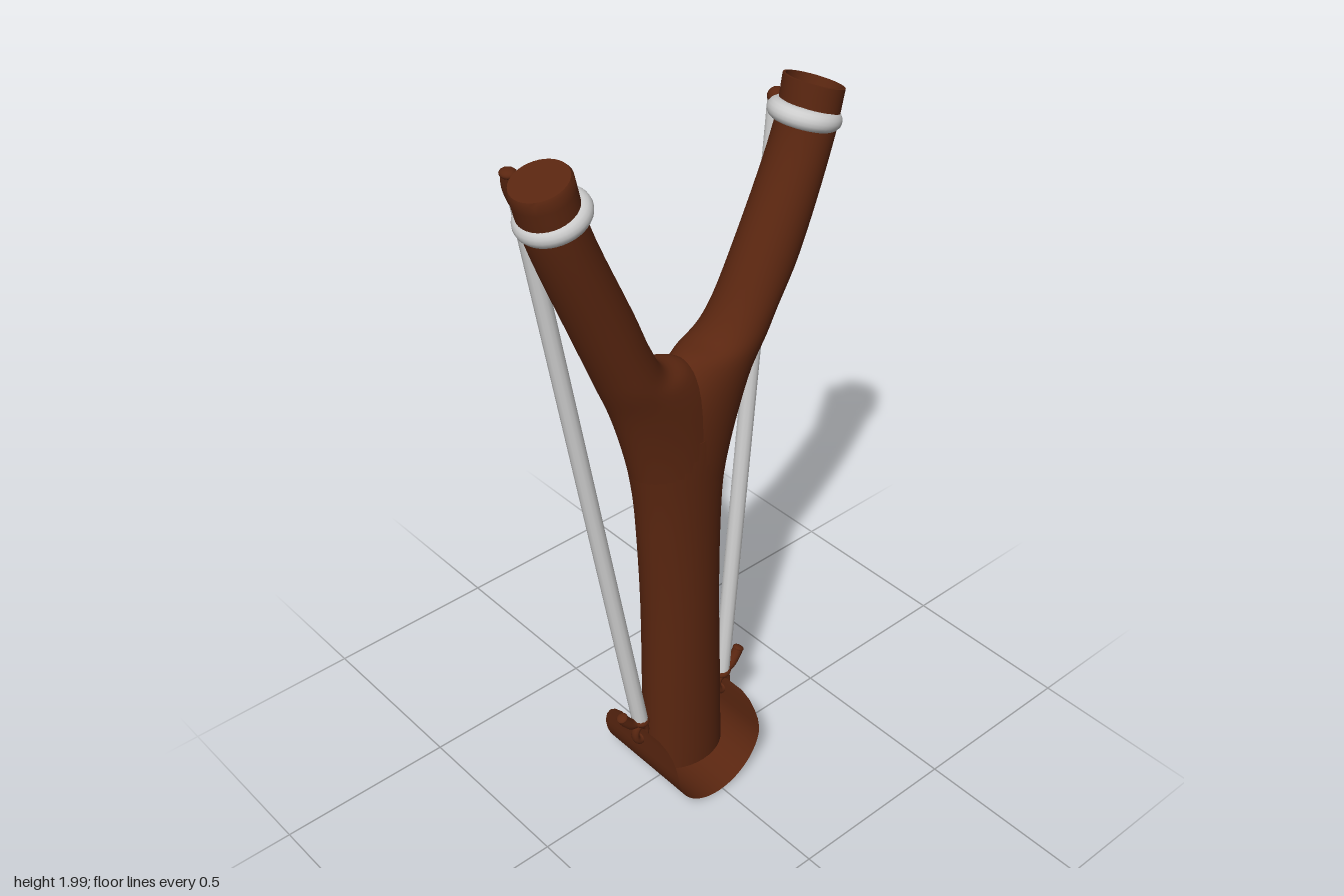
import * as THREE from 'three';
import { toCreasedNormals } from 'three/addons/utils/BufferGeometryUtils.js';

const V = (x, y, z = 0) => new THREE.Vector3(x, y, z);
const wood = new THREE.MeshStandardMaterial({ color: 0x5a2610 });
const leather = new THREE.MeshStandardMaterial({ color: 0x5a2610, side: THREE.DoubleSide });
const rubber = new THREE.MeshStandardMaterial({ color: 0xcccccc });

function mesh(name, geometry, material) {
  const m = new THREE.Mesh(geometry, material);
  m.name = name;
  return m;
}

// Rows are [leftX, leftY, rightX, rightY, zRadius]; smooth them into many rows.
function smoothRows(rows, count) {
  const a = new THREE.CatmullRomCurve3(rows.map(r => V(r[0], r[1], r[4])), false, 'centripetal');
  const b = new THREE.CatmullRomCurve3(rows.map(r => V(r[2], r[3], r[4])), false, 'centripetal');
  return Array.from({ length: count + 1 }, (_, i) => {
    const p = a.getPoint(i / count), q = b.getPoint(i / count);
    return [p.x, p.y, q.x, q.y, p.z];
  });
}

// Skin elliptical sections, capped at both ends.
function loft(rows, sides = 36) {
  const pos = [], idx = [];
  const centre = r => V((r[0] + r[2]) / 2, (r[1] + r[3]) / 2);
  rows.forEach(r => {
    const c = centre(r);
    for (let j = 0; j < sides; j++) {
      const t = j / sides * Math.PI * 2, k = Math.cos(t);
      pos.push(c.x + (r[2] - c.x) * k, c.y + (r[3] - c.y) * k, r[4] * Math.sin(t));
    }
  });
  const last = (rows.length - 1) * sides, mid = rows.length * sides;
  pos.push(...centre(rows[0]).toArray(), ...centre(rows[rows.length - 1]).toArray());
  for (let j = 0; j < sides; j++) {
    const n = (j + 1) % sides;
    for (let s = 0; s < last; s += sides) {
      idx.push(s + j, s + sides + j, s + n, s + n, s + sides + j, s + sides + n);
    }
    idx.push(mid, j, n, mid + 1, last + n, last + j);
  }
  const g = new THREE.BufferGeometry();
  g.setAttribute('position', new THREE.Float32BufferAttribute(pos, 3));
  g.setIndex(idx);
  return toCreasedNormals(g, 0.7);
}

// A section scaled about its centre and slid along its normal.
function offsetRow(r, scale, slide) {
  const cx = (r[0] + r[2]) / 2, cy = (r[1] + r[3]) / 2;
  const dx = r[2] - r[0], dy = r[3] - r[1], len = Math.hypot(dx, dy);
  const ox = cx - dy / len * slide, oy = cy + dx / len * slide;
  const hx = dx / 2 * scale, hy = dy / 2 * scale;
  return [ox - hx, oy - hy, ox + hx, oy + hy, r[4] * scale];
}

const tube = (points, r, seg = 16) =>
  new THREE.TubeGeometry(new THREE.CatmullRomCurve3(points), seg, r, 12, false);

function ball(name, p, sx, sy, sz, tilt = 0) {
  const m = mesh(name, new THREE.SphereGeometry(1, 16, 12), wood);
  m.position.copy(p);
  m.scale.set(sx, sy, sz);
  m.rotation.z = tilt;
  return m;
}

// Leather cradle: a U-shaped sheet along z with rounded upper corners.
function pouchGeometry() {
  const path = [[-0.165, 0.238]], pos = [], idx = [], n = 28, across = 8;
  for (let i = 0; i <= n; i++) {
    const t = Math.PI * (1 + i / n);
    path.push([-0.0125 + 0.15 * Math.cos(t), 0.155 + 0.151 * Math.sin(t)]);
    // extra rows follow the rounded corners on the straight ends
    if (i === 0) {
      path.splice(1, 0, [-0.164, 0.225], [-0.163, 0.205], [-0.163, 0.18]);
    }
  }
  path.push([0.138, 0.18], [0.138, 0.205], [0.139, 0.225], [0.14, 0.238]);
  path.forEach(([x, y]) => {
    const k = Math.min(1, Math.max(0, (y - 0.14) / 0.1));
    const w = 0.06 + 0.095 * Math.sqrt(1 - k * k);
    for (let j = 0; j <= across; j++) pos.push(x, y, w * (2 * j / across - 1));
  });
  const row = across + 1;
  for (let i = 0; i < path.length - 1; i++) {
    for (let j = 0; j < across; j++) {
      const a = i * row + j;
      idx.push(a, a + 1, a + row, a + 1, a + row + 1, a + row);
    }
  }
  const g = new THREE.BufferGeometry();
  g.setAttribute('position', new THREE.Float32BufferAttribute(pos, 3));
  g.setIndex(idx);
  g.computeVertexNormals();
  return g;
}

export function createModel() {
  const group = new THREE.Group();
  group.name = 'slingshot';

  // Handle
  const handle = [
    [-0.135, 0.08, 0.108, 0.08, 0.09], [-0.135, 0.33, 0.101, 0.33, 0.091],
    [-0.135, 0.62, 0.093, 0.65, 0.09], [-0.145, 0.84, 0.097, 0.85, 0.088],
    [-0.156, 0.98, 0.105, 0.98, 0.088], [-0.175, 1.1, 0.125, 1.1, 0.089],
    [-0.19, 1.17, 0.145, 1.17, 0.088],
  ];
  group.add(mesh('handle', loft(smoothRows(handle, 24)), wood));

  // Fork arms, both growing out of the top of the handle
  const rightArm = [
    [-0.148, 0.95, 0.09, 0.95, 0.085], [-0.165, 1.05, 0.11, 1.08, 0.088],
    [-0.19, 1.16, 0.07, 1.27, 0.088], [-0.225, 1.28, -0.015, 1.37, 0.087],
    [-0.262, 1.375, -0.09, 1.395, 0.085], [-0.29, 1.445, -0.13, 1.46, 0.083],
    [-0.335, 1.555, -0.18, 1.58, 0.081], [-0.44, 1.82, -0.303, 1.865, 0.077],
    [-0.475, 1.945, -0.335, 1.99, 0.075],
  ];
  const leftArm = [
    [-0.14, 0.95, 0.098, 0.95, 0.085], [-0.15, 1.08, 0.118, 1.05, 0.088],
    [-0.1, 1.28, 0.15, 1.16, 0.088], [-0.015, 1.37, 0.19, 1.28, 0.087],
    [0.055, 1.395, 0.24, 1.375, 0.085], [0.1, 1.44, 0.27, 1.435, 0.083],
    [0.175, 1.58, 0.335, 1.545, 0.081], [0.303, 1.865, 0.438, 1.82, 0.077],
    [0.325, 1.985, 0.47, 1.932, 0.075],
  ];
  const rightTip = rightArm[8], leftTip = leftArm[8];
  group.add(mesh('rightArm',
    loft([...smoothRows(rightArm, 40), offsetRow(rightTip, 0.94, 0.008)]), wood));
  // The left arm ends in a shallow hollow
  group.add(mesh('leftArm', loft([...smoothRows(leftArm, 40),
    offsetRow(leftTip, 0.92, 0.001), offsetRow(leftTip, 0.9, -0.03)]), wood));

  for (const [side, s] of [['left', 1], ['right', -1]]) {
    const left = s > 0;

    // Rubber ring bound around the arm
    const ring = mesh(side + 'Ring', new THREE.TorusGeometry(0.066, 0.025, 16, 40), rubber);
    ring.rotation.set(Math.PI / 2, -s * 0.3, 0, 'ZXY');
    ring.rotation.set(Math.PI / 2, 0, 0);
    const ringHolder = new THREE.Group();
    ringHolder.name = side + 'RingHolder';
    ringHolder.position.set(left ? 0.37 : -0.377, 1.883, 0);
    ringHolder.rotation.z = -s * 0.31;
    ringHolder.add(ring);
    group.add(ringHolder);

    // Elastic band from the ring down to the pouch
    const top = V(left ? 0.378 : -0.39, 1.89, -0.103);
    const low = V(left ? 0.135 : -0.166, 0.265, 0);
    const band = mesh(side + 'Band', tube([top, low], 0.022, 4), rubber);
    group.add(band);

    // Knot at the top of the band
    group.add(ball(side + 'TopKnot', top, 0.024, 0.022, 0.022));
    if (!left) {
      group.add(mesh('rightTopKnotTail',
        tube([V(-0.39, 1.88, -0.11), V(-0.405, 1.92, -0.108), V(-0.412, 1.96, -0.1)], 0.019, 8), wood));
      group.add(ball('rightTopKnotEnd', V(-0.412, 1.955, -0.102), 0.02, 0.012, 0.022));
    }

    // Lace loop through the pouch, knot and loose tail
    const loop = mesh(side + 'LaceLoop', new THREE.TorusGeometry(0.02, 0.011, 10, 20), wood);
    loop.position.set(low.x, 0.22, 0);
    loop.scale.set(0.9, 1.35, 1.2);
    group.add(loop);
    group.add(ball(side + 'LaceKnot', V(low.x, 0.262, 0), 0.027, 0.016, 0.026, s * 0.2));
    const tail = [[0, 0.26], [0.03, 0.268], [0.05, 0.29], [0.062, 0.31]];
    group.add(mesh(side + 'LaceTail', tube(tail.map(p => V(low.x + s * p[0], p[1])), 0.015), wood));
    group.add(ball(side + 'LaceEnd', V(low.x + s * 0.062, 0.31), 0.016, 0.008, 0.016, -s * 0.5));
  }

  group.add(mesh('pouch', pouchGeometry(), leather));
  return group;
}
